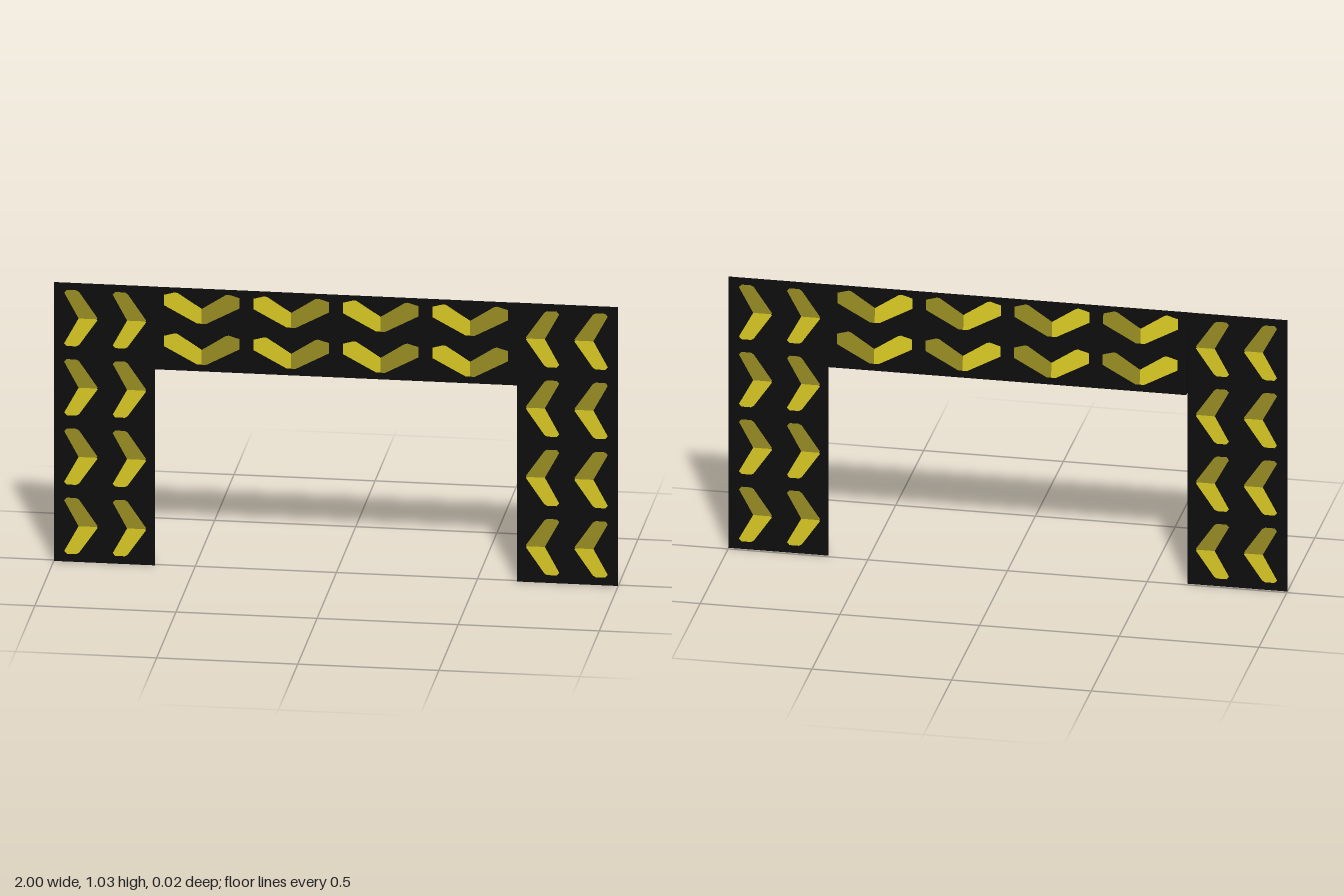
import * as THREE from 'three';

const black = new THREE.MeshStandardMaterial({ name: 'black rubber', color: 0x0d0d0d, side: THREE.DoubleSide });
const bright = new THREE.MeshStandardMaterial({ name: 'bright yellow', color: 0xd6c622 });
const dark = new THREE.MeshStandardMaterial({ name: 'dark yellow', color: 0x968a22 });

const TOP = 1.035, BEAM_BOTTOM = 0.728, INNER = 0.642, FRONT = 0.011;

// One arm of a chevron, in its own plane
const postArm = [[-0.059, 0.094], [-0.05, 0.104], [-0.016, 0.104], [-0.006, 0.098], [0.059, 0.004], [0.056, 0], [-0.008, 0]];
const beamArm = [[-0.134, 0.046], [-0.095, 0.057], [-0.085, 0.055], [0, 0], [0, -0.055], [-0.016, -0.055], [-0.134, 0.008]];

// Thin plate showing on both sides of the surface it sits in
function plate(points, sx, sy, material, name) {
  const shape = new THREE.Shape(points.map(([x, y]) => new THREE.Vector2(x * sx, y * sy)));
  const geometry = new THREE.ExtrudeGeometry(shape, { depth: 0.002, bevelEnabled: false });
  geometry.translate(0, 0, -0.001);
  const mesh = new THREE.Mesh(geometry, material);
  mesh.name = name;
  return mesh;
}

// Flat upright sheet with two columns of four sideways chevrons
function makePost(side) {
  const post = new THREE.Group();
  post.name = side > 0 ? 'leftPost' : 'rightPost';
  const panel = new THREE.Mesh(new THREE.PlaneGeometry(1 - INNER, TOP), black);
  panel.name = 'postPanel';
  panel.position.set(side * (1 + INNER) / 2, TOP / 2, 0);
  post.add(panel);
  for (const cx of [0.904, 0.732]) {
    for (let row = 0; row < 4; row++) {
      const chevron = new THREE.Group();
      chevron.name = 'postChevron';
      chevron.add(plate(postArm, -side, 1, dark, 'upperArm'));
      chevron.add(plate(postArm, -side, -1, bright, 'lowerArm'));
      chevron.position.set(side * cx, 0.133 + row * 0.257, 0);
      post.add(chevron);
    }
  }
  post.position.z = FRONT - 0.001;
  return post;
}

// Two rows of four downward chevrons, measured down from the beam's top edge
function beamChevrons(name) {
  const group = new THREE.Group();
  group.name = name;
  for (const y of [0.96, 0.808]) {
    for (let col = 0; col < 4; col++) {
      const chevron = new THREE.Group();
      chevron.name = 'beamChevron';
      chevron.add(plate(beamArm, 1, 1, bright, 'brightArm'));
      chevron.add(plate(beamArm, -1, 1, dark, 'darkArm'));
      chevron.position.set((col - 1.5) * 0.317, y - TOP, 0);
      group.add(chevron);
    }
  }
  group.position.set(0, TOP, FRONT);
  return group;
}

// Cross beam: a slim wedge, upright in front and sloping behind
function makeBeam() {
  const beam = new THREE.Group();
  beam.name = 'crossBeam';
  const section = new THREE.Shape([
    new THREE.Vector2(-FRONT, BEAM_BOTTOM),
    new THREE.Vector2(FRONT, BEAM_BOTTOM),
    new THREE.Vector2(-FRONT, TOP),
  ]);
  const geometry = new THREE.ExtrudeGeometry(section, { depth: 2 * INNER, bevelEnabled: false });
  geometry.translate(0, 0, -INNER);
  geometry.rotateY(Math.PI / 2);
  const body = new THREE.Mesh(geometry, black);
  body.name = 'beamBody';
  const back = beamChevrons('backChevrons');
  back.rotation.x = Math.atan2(2 * FRONT, TOP - BEAM_BOTTOM);
  beam.add(body, beamChevrons('frontChevrons'), back);
  return beam;
}

export function createModel() {
  const model = new THREE.Group();
  model.name = 'chevronGateway';
  model.add(makePost(-1), makePost(1), makeBeam());
  return model;
}
